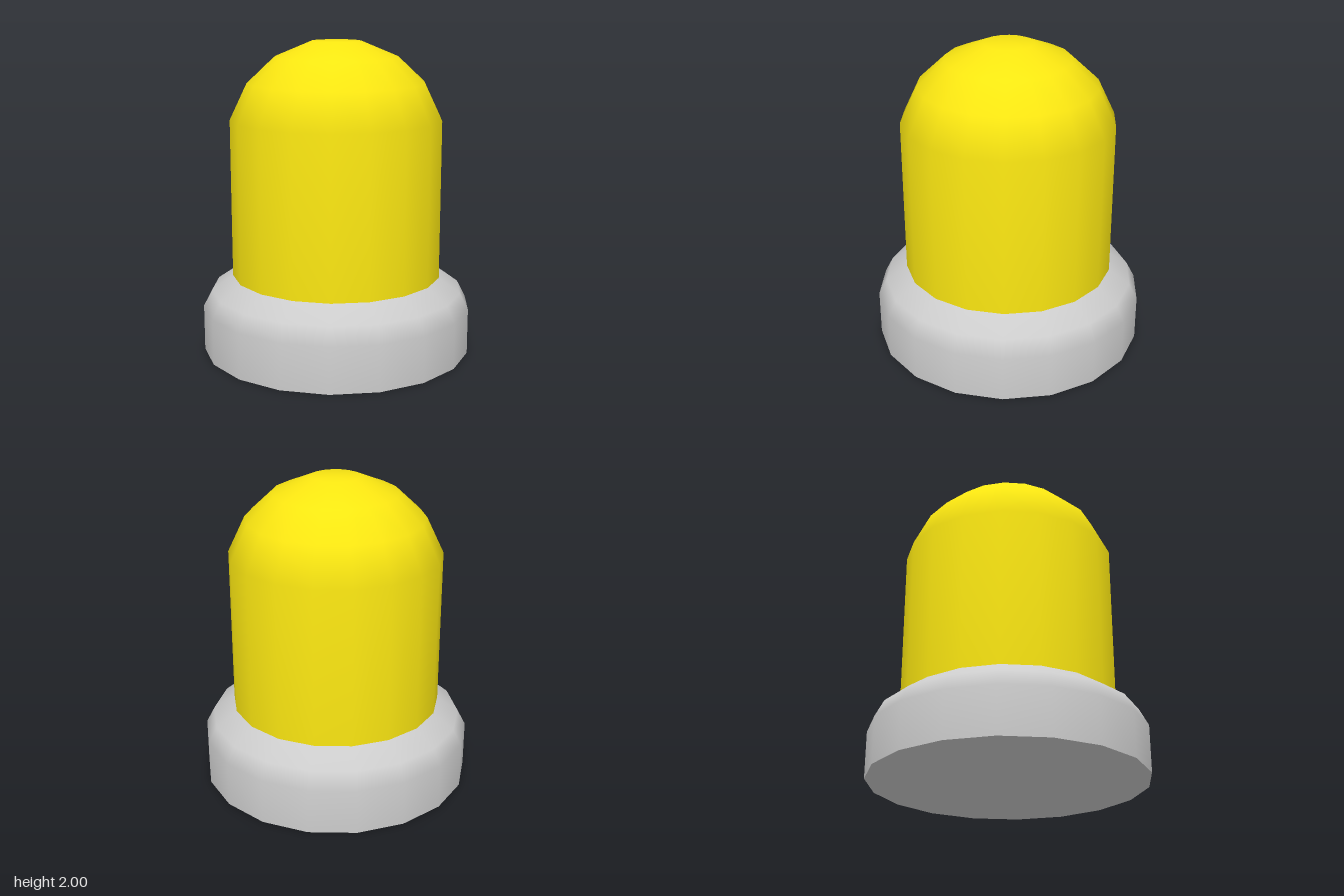
import * as THREE from 'three';

const SIDES = 18;

// Smooth surface of revolution from [radius, height] pairs, bottom to top
function lathe(name, profile, material) {
  const points = profile.map(([r, y]) => new THREE.Vector2(r, y));
  const mesh = new THREE.Mesh(new THREE.LatheGeometry(points, SIDES), material);
  mesh.name = name;
  return mesh;
}

export function createModel() {
  const model = new THREE.Group();
  model.name = 'domedLamp';
  const grey = new THREE.MeshStandardMaterial({ color: 0xcccccc });
  const yellow = new THREE.MeshStandardMaterial({ color: 0xfae611 });

  // Base collar with a rounded shoulder
  const base = new THREE.Group();
  base.name = 'base';
  base.add(lathe('baseCollar', [[0.87, 0], [0.87, 0.295], [0.815, 0.4], [0.677, 0.495]], grey));

  // Flat underside, kept separate for a hard edge
  const underside = new THREE.Mesh(new THREE.CircleGeometry(0.87, SIDES, Math.PI / 2), grey);
  underside.name = 'baseUnderside';
  underside.rotation.x = Math.PI / 2;
  base.add(underside);

  // Straight cover ending in a dome with a small flat top
  const cover = lathe('domeCover', [
    [0.677, 0.495], [0.677, 1.51], [0.567, 1.74], [0.396, 1.9], [0.157, 2], [0, 2],
  ], yellow);

  model.add(base, cover);
  return model;
}
